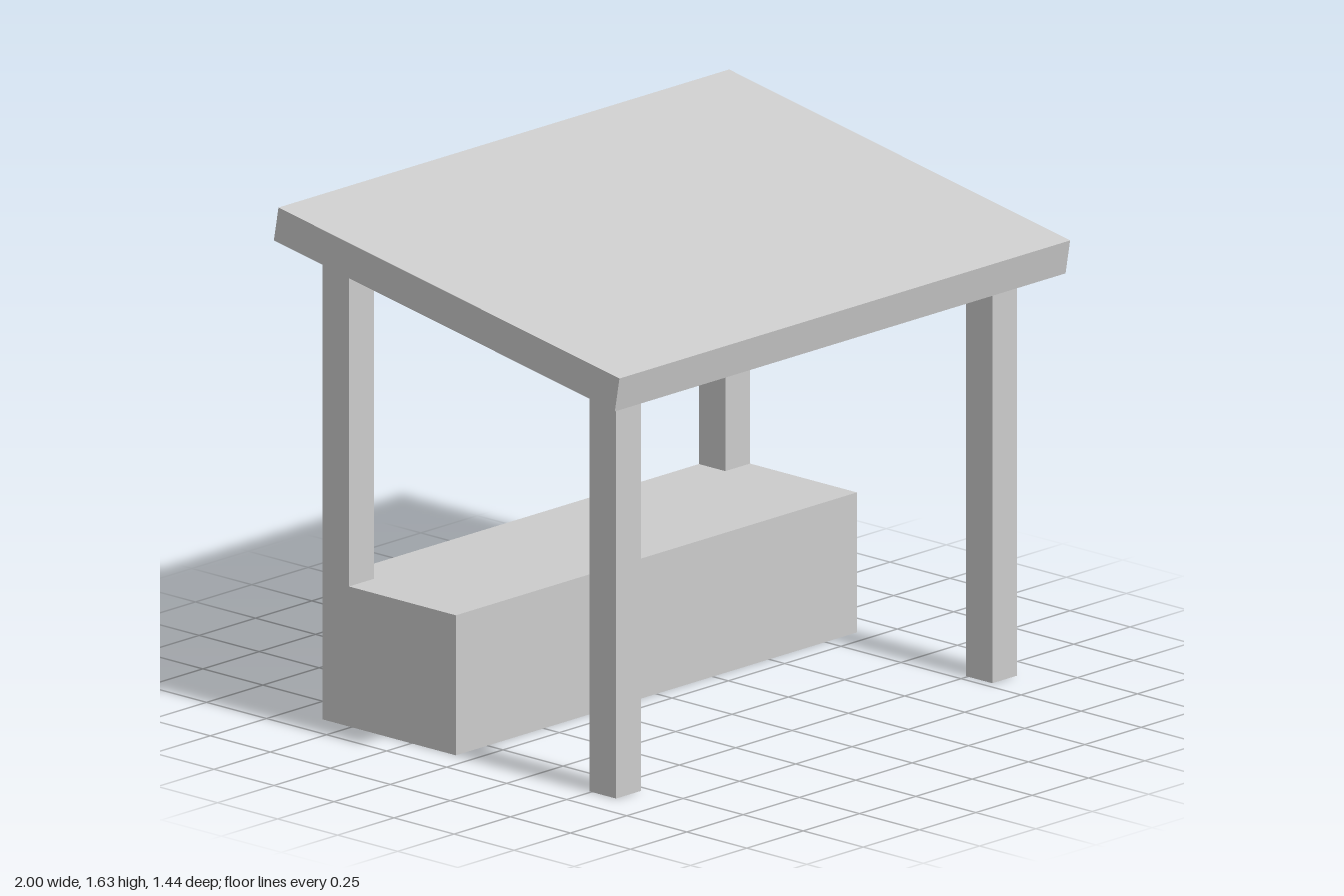
import * as THREE from 'three';

const material = new THREE.MeshStandardMaterial({ color: 0xcccccc, flatShading: true });

// Roof slab: slopes down towards the front
const TILT = THREE.MathUtils.degToRad(10);
const ROOF = { width: 2, thickness: 0.11, depth: 1.442, y: 1.451 };

// Height of the roof underside at a given z
const undersideY = (z) =>
  ROOF.y - ROOF.thickness / 2 / Math.cos(TILT) - z * Math.tan(TILT);

// Box given by its centre in x and z, and its bottom and top heights
function block(name, width, depth, x, z, bottom, top) {
  const geometry = new THREE.BoxGeometry(width, top - bottom, depth);
  geometry.translate(x, (bottom + top) / 2, z);
  const mesh = new THREE.Mesh(geometry, material);
  mesh.name = name;
  return mesh;
}

// Square post whose top is cut to the slope of the roof
function post(name, x, z, bottom) {
  const mesh = block(name, 0.11, 0.11, x, z, bottom, 1.2);
  const p = mesh.geometry.attributes.position;
  for (let i = 0; i < p.count; i++) {
    if (p.getY(i) > 1.1) p.setY(i, undersideY(p.getZ(i)));
  }
  mesh.geometry.computeVertexNormals();
  return mesh;
}

export function createModel() {
  const group = new THREE.Group();
  group.name = 'shelter';

  const roof = new THREE.Mesh(
    new THREE.BoxGeometry(ROOF.width, ROOF.thickness, ROOF.depth), material);
  roof.name = 'roof';
  roof.position.y = ROOF.y;
  roof.rotation.x = TILT;
  group.add(roof);

  // Solid bench along the back; the rear posts stand on it
  const benchTop = 0.444;
  group.add(block('bench', 1.78, 0.555, 0, -0.3425, 0, benchTop));

  for (const [side, x] of [['left', 0.835], ['right', -0.835]]) {
    group.add(post(`${side}FrontPost`, x, 0.547, 0));
    group.add(post(`${side}BackPost`, x, -0.565, benchTop));
  }
  return group;
}
